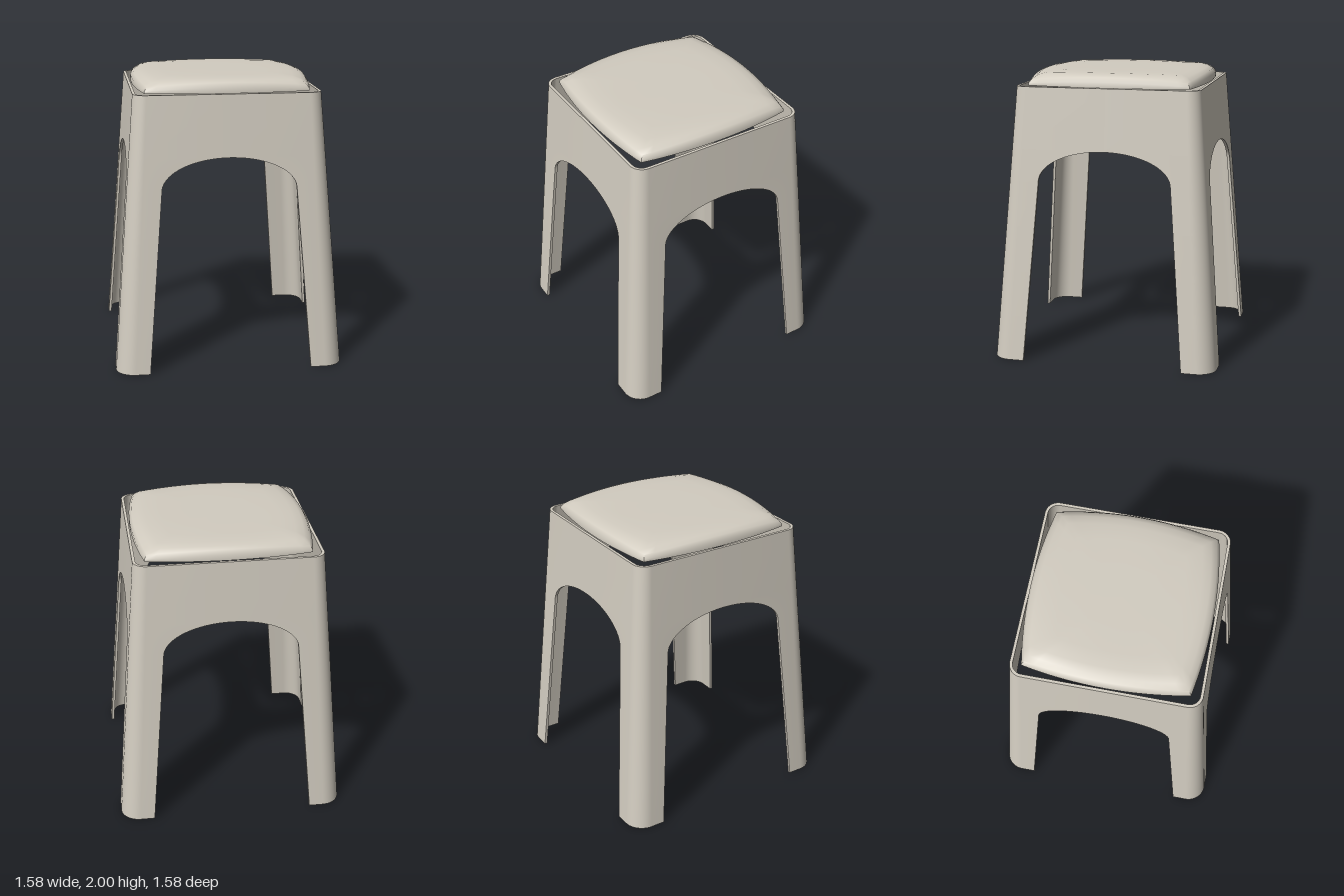
import * as THREE from 'three';
import { toCreasedNormals } from 'three/addons/utils/BufferGeometryUtils.js';

const TOP = 1.905;            // rim height
const THICK = 0.02;           // shell wall thickness
const ARC = 12;               // corner segments
const SPRING = 1.26, RISE = 0.22, SPAN = 0.46; // arch of each side opening

function makeGeometry(points, index, crease) {
  const g = new THREE.BufferGeometry();
  g.setAttribute('position', new THREE.Float32BufferAttribute(points.flat(), 3));
  g.setIndex(index);
  return toCreasedNormals(g, crease);
}

// Horizontal path round one corner, from one opening edge to the next
function cornerPath(y, open, inset) {
  const half = THREE.MathUtils.lerp(0.79, 0.64, y / TOP) - inset;
  const r = THREE.MathUtils.lerp(0.13, 0.09, y / TOP) - inset;
  const pts = [[open, y, half]];
  for (let i = 0; i <= ARC; i++) {
    const a = (i / ARC) * Math.PI / 2;
    pts.push([half - r + r * Math.sin(a), y, half - r + r * Math.cos(a)]);
  }
  pts.push([half, y, open]);
  return pts;
}

// One quarter of the shell: a leg with its half of the two neighbouring aprons
function quarterShell() {
  const rows = [];            // [height, half-width of opening]
  for (let i = 0; i < 4; i++) rows.push([SPRING * i / 4, THREE.MathUtils.lerp(0.56, SPAN, i / 4)]);
  for (let i = 0; i <= 20; i++) {
    const a = (i / 20) * Math.PI / 2;
    rows.push([SPRING + RISE * Math.sin(a), i === 20 ? 0 : SPAN * Math.cos(a)]);
  }
  rows.push([TOP, 0]);

  const points = [], index = [];
  const n = ARC + 3, loop = 2 * n;
  for (const [y, open] of rows) {
    points.push(...cornerPath(y, open, 0), ...cornerPath(y, open, THICK).reverse());
  }
  const quad = (a, b, c, d) => index.push(a, b, c, a, c, d);
  for (let i = 0; i < rows.length - 1; i++) {
    const closed = rows[i][1] === 0;   // above the arch the quarters join
    for (let j = 0; j < loop; j++) {
      if (closed && (j === n - 1 || j === loop - 1)) continue;
      const k = (j + 1) % loop, a = i * loop, b = a + loop;
      quad(a + j, a + k, b + k, b + j);
    }
  }
  // Rim and foot faces
  const last = (rows.length - 1) * loop;
  for (let j = 0; j < n - 1; j++) {
    const inA = loop - 1 - j, inB = inA - 1;
    quad(last + j, last + j + 1, last + inB, last + inA);
    quad(inA, inB, j + 1, j);
  }
  return makeGeometry(points, index, 0.5);
}

// Pillow with pointed corners and bowed sides, built from nested rings
function cushion() {
  const rings = [             // [scale, height at corner, height at mid-side]
    [0, TOP, TOP], [1, TOP, TOP], [1, 1.92, 1.945], [0.97, 1.945, 1.975],
    [0.91, 1.972, 1.988], [0.82, 1.988, 1.996], [0.65, 1.997, 1.999],
    [0.35, 2, 2], [0, 2, 2],
  ];
  const N = 16, count = 4 * N, points = [], index = [];
  for (const [s, yCorner, yMid] of rings) {
    for (let side = 0; side < 4; side++) {
      const a = side * Math.PI / 2;
      for (let i = 0; i < N; i++) {
        const t = 2 * i / N - 1, bow = 1 - t * t;
        const x = 0.56 * t * s, z = (0.56 + 0.055 * bow) * s;
        points.push([
          x * Math.cos(a) + z * Math.sin(a),
          yCorner + (yMid - yCorner) * bow,
          z * Math.cos(a) - x * Math.sin(a),
        ]);
      }
    }
  }
  for (let r = 0; r < rings.length - 1; r++) {
    for (let j = 0; j < count; j++) {
      const k = (j + 1) % count, a = r * count, b = a + count;
      if (rings[r][0] > 0) index.push(a + j, a + k, b + k);
      if (rings[r + 1][0] > 0) index.push(a + j, b + k, b + j);
      else index.push(a + j, a + k, b + j);
    }
  }
  return makeGeometry(points, index, 0.75);
}

export function createModel() {
  const group = new THREE.Group();
  group.name = 'stool';
  const beige = new THREE.MeshStandardMaterial({ color: 0xd2ccc0 });
  beige.name = 'warm beige';

  // Four legs with arched aprons
  const shell = new THREE.Group();
  shell.name = 'shell';
  const quarter = quarterShell();
  ['frontLeft', 'backLeft', 'backRight', 'frontRight'].forEach((name, i) => {
    const leg = new THREE.Mesh(quarter, beige);
    leg.name = name + 'Leg';
    leg.rotation.y = i * Math.PI / 2;
    shell.add(leg);
  });
  group.add(shell);

  // Seat cushion
  const seat = new THREE.Mesh(cushion(), beige);
  seat.name = 'seatCushion';
  group.add(seat);
  return group;
}
